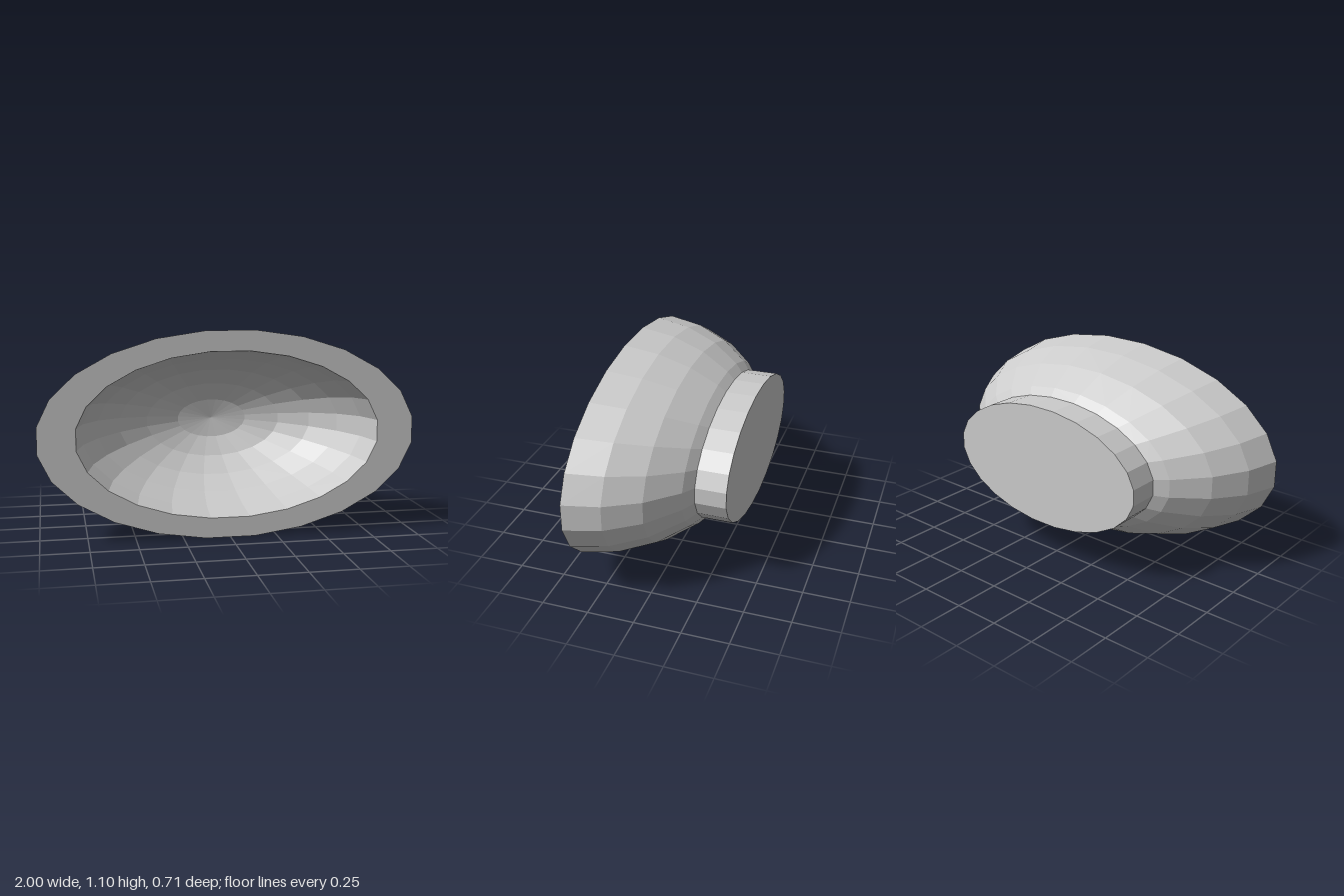
import * as THREE from 'three';

const SIDES = 24;
const HALF_HEIGHT = 0.549;
const CORNER = 1 / Math.cos(Math.PI / SIDES); // flat sides sit on the axes

// Revolves [radius, z] pairs around z, then squashes the result to an oval.
function ovalLathe(name, profile) {
  const points = profile.map(([r, z]) => new THREE.Vector2(r * CORNER, z));
  const geometry = new THREE.LatheGeometry(points, SIDES, Math.PI / SIDES);
  geometry.rotateX(Math.PI / 2);
  geometry.scale(1, HALF_HEIGHT, 1);
  geometry.translate(0, HALF_HEIGHT, 0);
  const mesh = new THREE.Mesh(
    geometry,
    new THREE.MeshStandardMaterial({ color: 0xcccccc, flatShading: true })
  );
  mesh.name = name;
  return mesh;
}

// Rings of a bowl from just short of the equator (ring 0) to the pole (ring 6).
function bowlRing(i, radius, depth) {
  const start = THREE.MathUtils.degToRad(85);
  const a = start * (1 - i / 6);
  const z = 0.357 - depth * (Math.cos(a) - Math.cos(start)) / (1 - Math.cos(start));
  return [radius * Math.sin(a) / Math.sin(start), z];
}

export function createModel() {
  const group = new THREE.Group();
  group.name = 'ovalBowl';

  const outer = [3, 2, 1, 0].map((i) => bowlRing(i, 1, 0.712));
  const inner = [0, 1, 2, 3, 4, 5, 6].map((i) => bowlRing(i, 0.803, 0.61));
  const seam = [0.607, -0.192];

  // Outer wall, flat rim and hollow inside
  group.add(ovalLathe('bowlOuterWall', [seam, ...outer]));
  group.add(ovalLathe('bowlRim', [outer[3], inner[0]]));
  group.add(ovalLathe('bowlInside', inner));

  // Straight foot with a flat back
  group.add(ovalLathe('foot', [[0.607, -0.357], seam]));
  group.add(ovalLathe('footBack', [[0, -0.357], [0.607, -0.357]]));

  return group;
}
